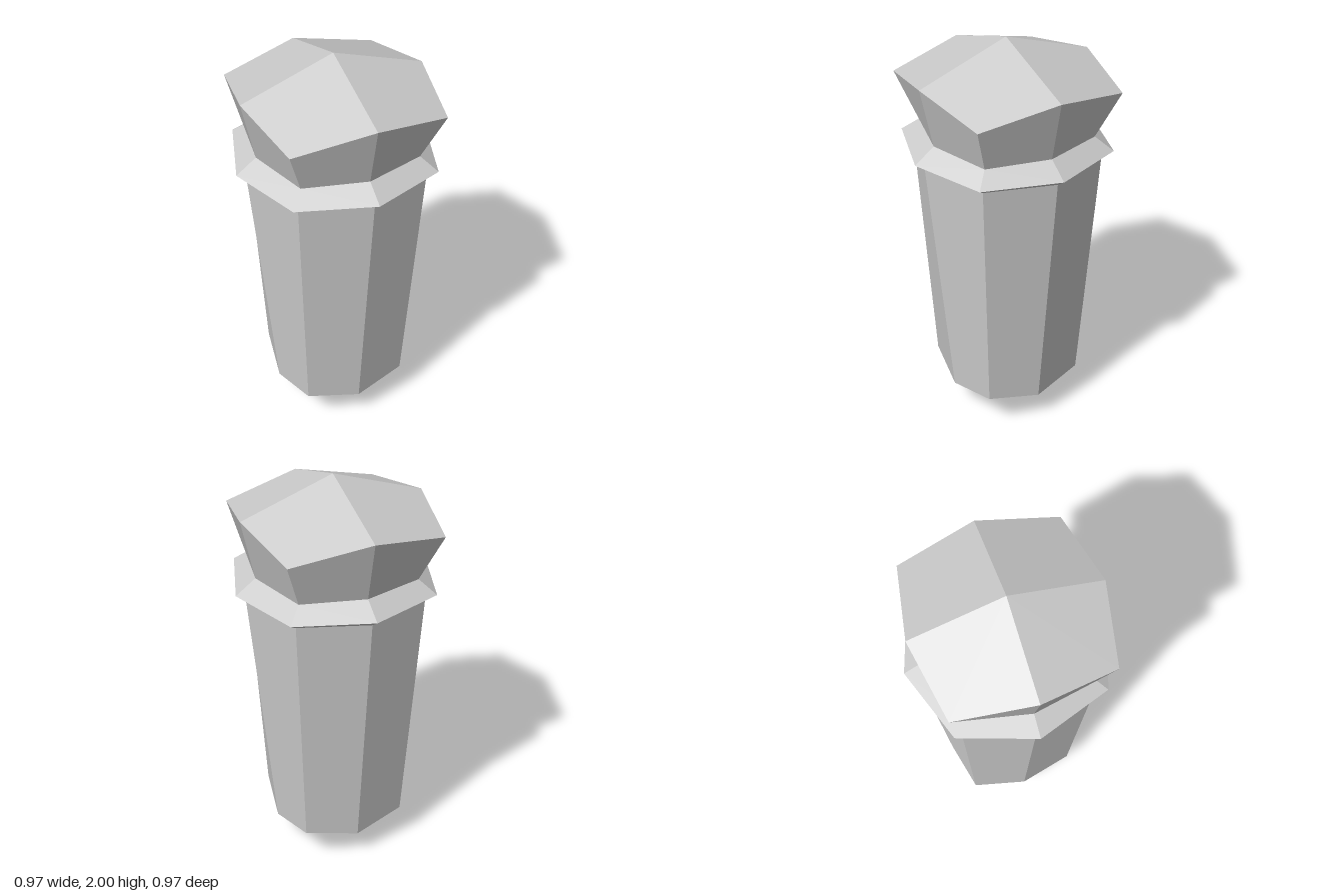
import * as THREE from 'three';

// Eight-point ring: four points on the axes, four on the diagonals.
// axis = distance along x or z, diag = x and z of the corner points.
function ring(axis, axisY, diag, diagY) {
  return Array.from({ length: 8 }, (_, i) => {
    const a = (i * Math.PI) / 4;
    const r = i % 2 ? diag * Math.SQRT2 : axis;
    return new THREE.Vector3(Math.sin(a) * r, i % 2 ? diagY : axisY, Math.cos(a) * r);
  });
}

// Flat-looking facets: each quad gets a single normal from its diagonals
function facets(quads) {
  const positions = [], normals = [];
  for (const [a, b, c, d] of quads) {
    const n = c.clone().sub(a).cross(d.clone().sub(b)).normalize();
    for (const p of [a, b, c, a, c, d]) {
      positions.push(p.x, p.y, p.z);
      normals.push(n.x, n.y, n.z);
    }
  }
  const geometry = new THREE.BufferGeometry();
  geometry.setAttribute('position', new THREE.Float32BufferAttribute(positions, 3));
  geometry.setAttribute('normal', new THREE.Float32BufferAttribute(normals, 3));
  return geometry;
}

// Band of eight facets; the split alternates so the halves mirror
function band(low, high) {
  return facets(low.map((p, i) => {
    const j = (i + 1) % 8;
    return i % 2 ? [low[j], high[j], high[i], p] : [p, low[j], high[j], high[i]];
  }));
}

// Four kite facets meeting in a point
function point(base, y, up) {
  const tip = new THREE.Vector3(0, y, 0);
  return facets([0, 2, 4, 6].map((i) => {
    const a = base[i], d = base[i + 1], b = base[(i + 2) % 8];
    return up ? [tip, a, d, b] : [tip, b, d, a];
  }));
}

export function createModel() {
  const model = new THREE.Group();
  model.name = 'facetedPost';
  const grey = new THREE.MeshStandardMaterial({ color: 0xcccccc });
  grey.name = 'light grey';

  const add = (name, geometry) => {
    const mesh = new THREE.Mesh(geometry, grey);
    mesh.name = name;
    model.add(mesh);
  };

  // Rings from bottom to top
  const foot = ring(0.31, 0.155, 0.26, 0.205);
  const shoulder = ring(0.438, 1.443, 0.323, 1.443);
  const rim = ring(0.487, 1.478, 0.363, 1.478);
  const neck = ring(0.388, 1.55, 0.298, 1.543);
  const brow = ring(0.452, 1.845, 0.382, 1.777);

  add('bottomPoint', point(foot, 0, false));
  add('shaft', band(foot, shoulder));
  add('collarUnderside', band(shoulder, rim));
  add('collarTop', band(rim, neck));
  add('crown', band(neck, brow));
  add('topPoint', point(brow, 2, true));

  return model;
}
